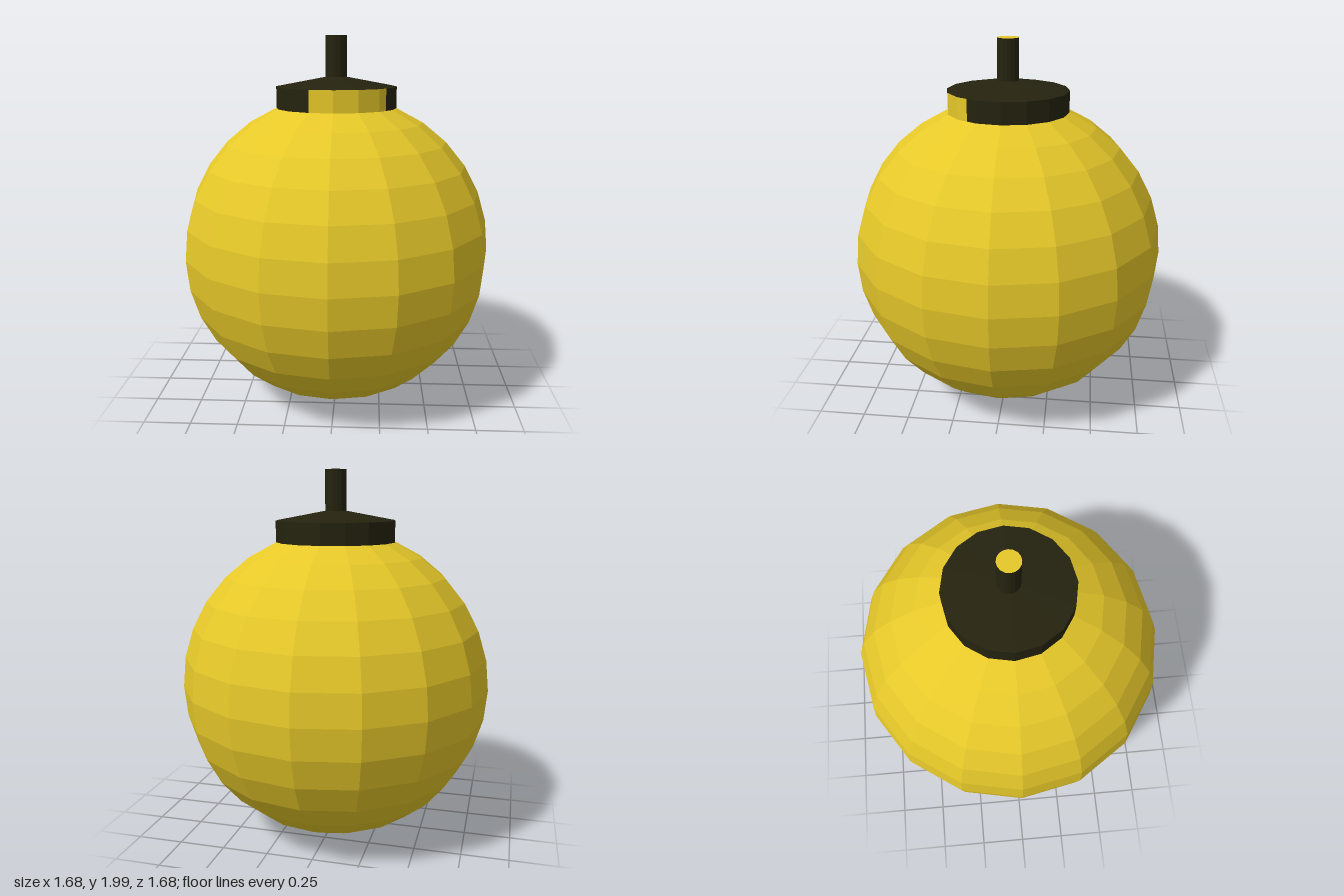
import * as THREE from 'three';

const SIDES = 16;
const CAP_R = 0.322;

// Point on the 16-sided cap outline; whole steps are corners, halves are mid-facet
function rim(step) {
  const corner = (i) => {
    const a = (i * Math.PI * 2) / SIDES;
    return new THREE.Vector2(Math.sin(a) * CAP_R, Math.cos(a) * CAP_R);
  };
  const i = Math.floor(step);
  return corner(i).lerp(corner(i + 1), step - i);
}

// Upright wall running through a list of outline steps
function wall(steps, y0, y1) {
  const positions = [];
  const index = [];
  steps.forEach((s, i) => {
    const p = rim(s);
    positions.push(p.x, y0, p.y, p.x, y1, p.y);
    if (i > 0) {
      const a = 2 * (i - 1);
      index.push(a, a + 2, a + 1, a + 1, a + 2, a + 3);
    }
  });
  const geometry = new THREE.BufferGeometry();
  geometry.setAttribute('position', new THREE.Float32BufferAttribute(positions, 3));
  geometry.setIndex(index);
  geometry.computeVertexNormals();
  return geometry;
}

export function createModel() {
  const group = new THREE.Group();
  const yellow = new THREE.MeshStandardMaterial({ color: 0xe6c829, flatShading: true });
  yellow.name = 'yellow';
  const dark = new THREE.MeshStandardMaterial({ color: 0x25230f, flatShading: true });
  dark.name = 'dark olive';

  const add = (name, geometry, material, y = 0) => {
    const mesh = new THREE.Mesh(geometry, material);
    mesh.name = name;
    mesh.position.y = y;
    group.add(mesh);
    return mesh;
  };

  // Faceted round body
  add('body', new THREE.SphereGeometry(0.84, SIDES, 16), yellow, 0.846);

  // Cap wall: a yellow window at the front, dark the rest of the way round
  const darkSteps = [2.5];
  for (let i = 3; i <= 15; i++) darkSteps.push(i);
  add('capWindow', wall([-1, 0, 1, 2, 2.5], 1.622, 1.735), yellow);
  add('capWall', wall(darkSteps, 1.622, 1.735), dark);

  // Shallow sloping lid and flat underside
  add('capLid', new THREE.CylinderGeometry(0.057, CAP_R, 0.05, SIDES, 1, true), dark, 1.76);
  const base = add('capBase', new THREE.CircleGeometry(CAP_R, SIDES), dark, 1.622);
  base.rotation.x = Math.PI / 2;

  // Stem with a yellow tip
  add('stem', new THREE.CylinderGeometry(0.057, 0.057, 0.22, SIDES, 1, true), dark, 1.89);
  const tip = add('stemTip', new THREE.CircleGeometry(0.057, SIDES), yellow, 2);
  tip.rotation.x = -Math.PI / 2;

  return group;
}
